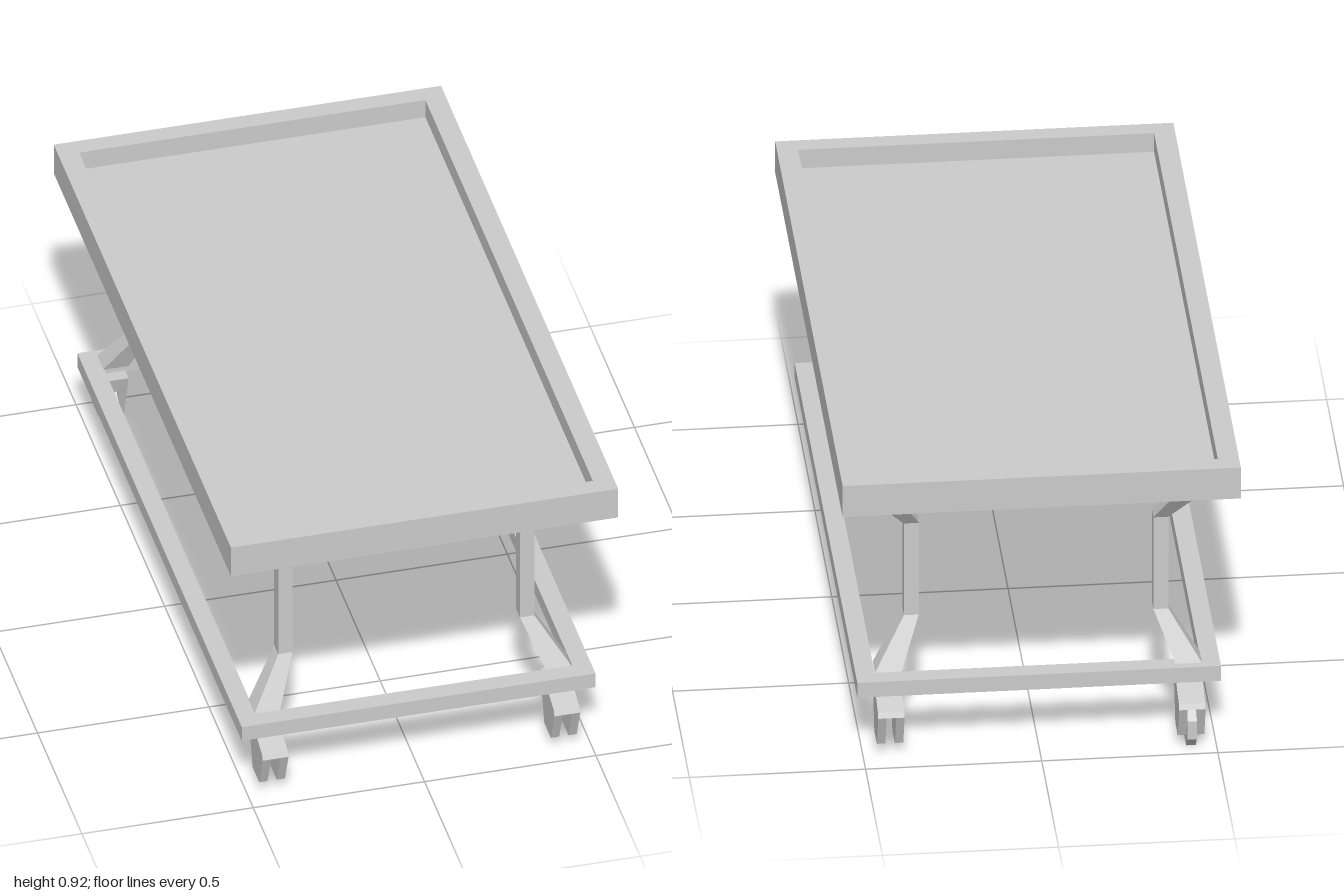
import * as THREE from 'three';

const material = new THREE.MeshStandardMaterial({ color: 0xcccccc, flatShading: true });

function addMesh(parent, name, geometry, x = 0, y = 0, z = 0) {
  const mesh = new THREE.Mesh(geometry, material);
  mesh.name = name;
  mesh.position.set(x, y, z);
  parent.add(mesh);
  return mesh;
}

// Rectangular ring lying flat, bottom at y = 0
function ringGeometry(halfX, halfZ, innerX, innerZ, height) {
  const rect = (a, b) => [[-a, -b], [a, -b], [a, b], [-a, b]].map(([x, y]) => new THREE.Vector2(x, y));
  const shape = new THREE.Shape(rect(halfX, halfZ));
  shape.holes.push(new THREE.Path(rect(innerX, innerZ).reverse()));
  return new THREE.ExtrudeGeometry(shape, { depth: height, bevelEnabled: false }).rotateX(-Math.PI / 2);
}

// Square post lofted through four levels: splayed foot, slim shaft, splayed head.
// Offsets are measured outward from the shaft centre.
const LEG_LEVELS = [
  { y: 0.235, offX: 0.073, offZ: 0.065, w: 0.075, d: 0.07 },
  { y: 0.375, offX: 0, offZ: 0, w: 0.042, d: 0.046 },
  { y: 0.672, offX: 0, offZ: 0, w: 0.042, d: 0.046 },
  { y: 0.785, offX: 0.073, offZ: 0.065, w: 0.075, d: 0.07 },
];

function legGeometry(sideX, sideZ) {
  const geometry = new THREE.BoxGeometry(1, 3, 1, 1, 3, 1);
  const p = geometry.attributes.position;
  for (let i = 0; i < p.count; i++) {
    const level = LEG_LEVELS[Math.round(p.getY(i) + 1.5)];
    p.setXYZ(i, p.getX(i) * level.w + sideX * level.offX, level.y, p.getZ(i) * level.d + sideZ * level.offZ);
  }
  geometry.computeVertexNormals();
  return geometry;
}

// Caster profiles: [outward distance from the shaft centre, height]
const PLATE = [[0.08, 0.037], [0.155, 0.037], [0.195, 0.14], [0.187, 0.155], [0.075, 0.192], [0.03, 0.192]];
const BRIDGE = [[0.046, 0.14], [0.195, 0.14], [0.187, 0.155], [0.075, 0.192], [0.03, 0.192]];

// Extrudes a z/y profile along x, centred on x = 0
function profileGeometry(points, sideZ, width) {
  const shape = new THREE.Shape(points.map(([z, y]) => new THREE.Vector2(-z * sideZ, y)));
  return new THREE.ExtrudeGeometry(shape, { depth: width, bevelEnabled: false })
    .translate(0, 0, -width / 2)
    .rotateY(Math.PI / 2);
}

function makeCaster(sideZ, hasWheel) {
  const caster = new THREE.Group();
  for (const side of [-1, 1]) {
    addMesh(caster, 'forkPlate', profileGeometry(PLATE, sideZ, 0.024), side * 0.0255);
  }
  addMesh(caster, 'forkBridge', profileGeometry(BRIDGE, sideZ, 0.027));
  if (hasWheel) {
    const radius = 0.07 / Math.cos(Math.PI / 8);
    const wheel = new THREE.CylinderGeometry(radius, radius, 0.027, 8)
      .rotateY(Math.PI / 8).rotateZ(Math.PI / 2);
    addMesh(caster, 'wheel', wheel, 0, 0.07, sideZ * 0.12);
  }
  return caster;
}

export function createModel() {
  const model = new THREE.Group();
  model.name = 'rollingTable';

  // Tray top with raised rim and sunken floor
  addMesh(model, 'trayRim', ringGeometry(0.565, 1, 0.505, 0.945, 0.1), 0, 0.82, 0);
  addMesh(model, 'trayFloor', new THREE.BoxGeometry(1.01, 0.04, 1.89), 0, 0.84, 0);

  // Upper and lower frames
  addMesh(model, 'upperFrame', ringGeometry(0.516, 0.928, 0.462, 0.874, 0.042), 0, 0.779, 0.005);
  addMesh(model, 'lowerFrame', ringGeometry(0.516, 0.928, 0.462, 0.874, 0.048), 0, 0.189, 0.005);

  // Legs and casters; one corner keeps its wheel
  const corners = [[-1, 1, -0.355, 0.78], [1, 1, 0.35, 0.78], [1, -1, 0.35, -0.768], [-1, -1, -0.355, -0.8]];
  for (const [sx, sz, x, z] of corners) {
    const name = (sz > 0 ? 'front' : 'back') + (sx > 0 ? 'Left' : 'Right');
    addMesh(model, name + 'Leg', legGeometry(sx, sz), x, 0, z);
    const caster = makeCaster(sz, sx < 0 && sz < 0);
    caster.name = name + 'Caster';
    caster.position.set(x + sx * 0.073, 0, z);
    model.add(caster);
  }
  return model;
}
